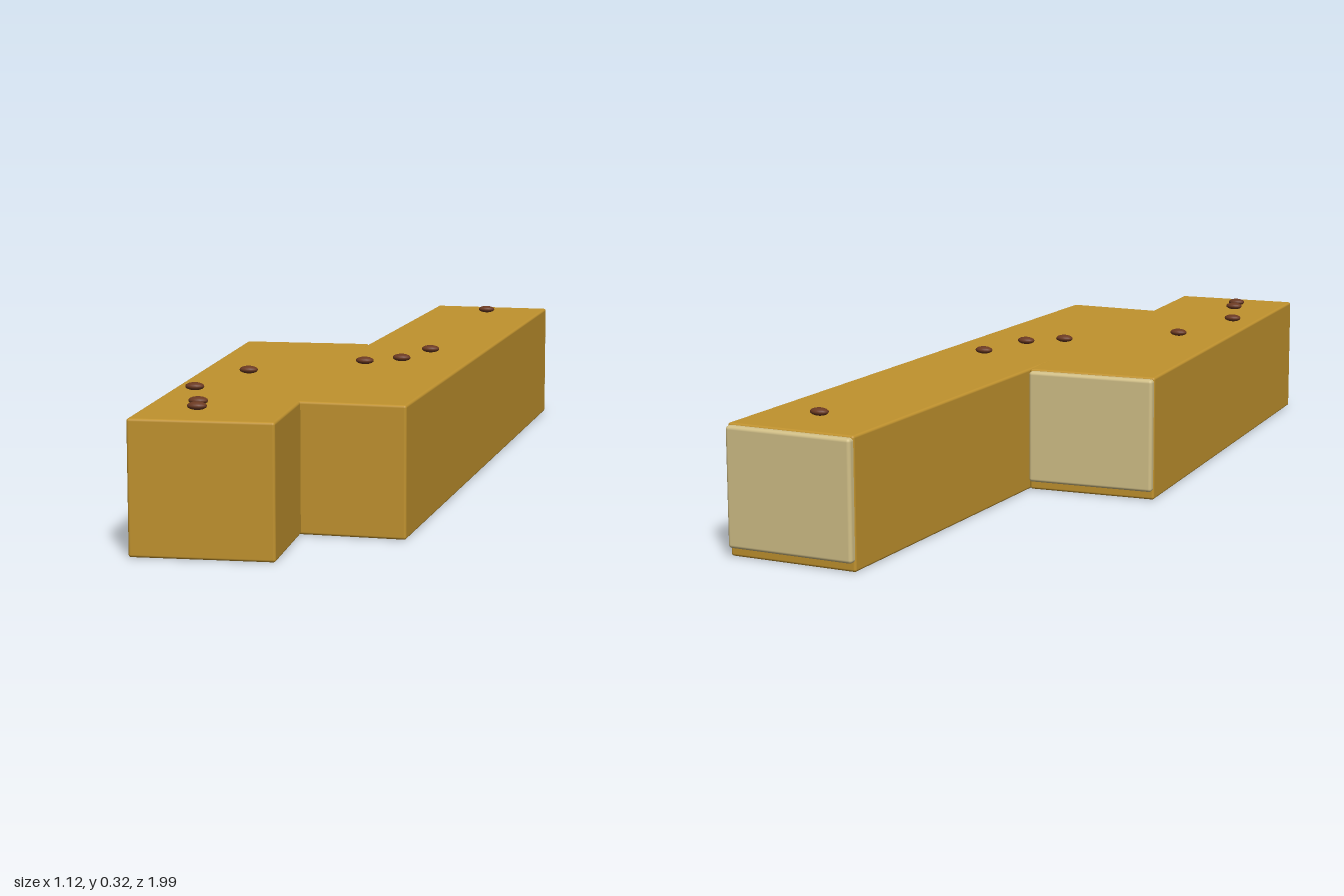
import * as THREE from 'three';
import { RoundedBoxGeometry } from 'three/addons/geometries/RoundedBoxGeometry.js';

export function createModel() {
  const model = new THREE.Group();
  const mat = (name, color) => {
    const m = new THREE.MeshStandardMaterial({ color });
    m.name = name;
    return m;
  };
  const gold = mat('golden wood', 0xc0922e);
  const cream = mat('pale end grain', 0xd2c088);
  const brown = mat('dark brown', 0x6b3a22);

  const HEIGHT = 0.297;

  // A squared beam with a pale cap on its back end
  function beam(name, width, length, x, z, degrees) {
    const group = new THREE.Group();
    group.name = name;
    const body = new THREE.Mesh(new RoundedBoxGeometry(width, HEIGHT, length, 3, 0.006), gold);
    body.name = name + 'Body';
    body.position.y = HEIGHT / 2;
    const cap = new THREE.Mesh(new RoundedBoxGeometry(width - 0.004, 0.272, 0.04, 3, 0.008), cream);
    cap.name = name + 'EndCap';
    cap.position.set(0, 0.157, -length / 2 + 0.005);
    group.add(body, cap);
    group.position.set(x, 0, z);
    group.rotation.y = -THREE.MathUtils.degToRad(degrees);
    model.add(group);
  }
  beam('shortBeam', 0.317, 1.207, -0.28, 0.371, 12.7);
  beam('longBeam', 0.314, 1.764, 0.1435, -0.094, 17.4);

  // Small flattened studs scattered along the top
  const studGeometry = new THREE.SphereGeometry(1, 16, 10);
  const studs = [
    [-0.42, 0.835], [-0.418, 0.765], [-0.428, 0.565], [-0.305, 0.32],
    [-0.025, 0.187], [0.067, 0.143], [0.15, -0.005], [0.376, -0.797],
  ];
  for (const [x, z] of studs) {
    const stud = new THREE.Mesh(studGeometry, brown);
    stud.name = 'stud';
    stud.scale.set(0.022, 0.009, 0.016);
    stud.position.set(x, 0.308, z);
    stud.rotation.y = -0.26;
    model.add(stud);
  }
  return model;
}
